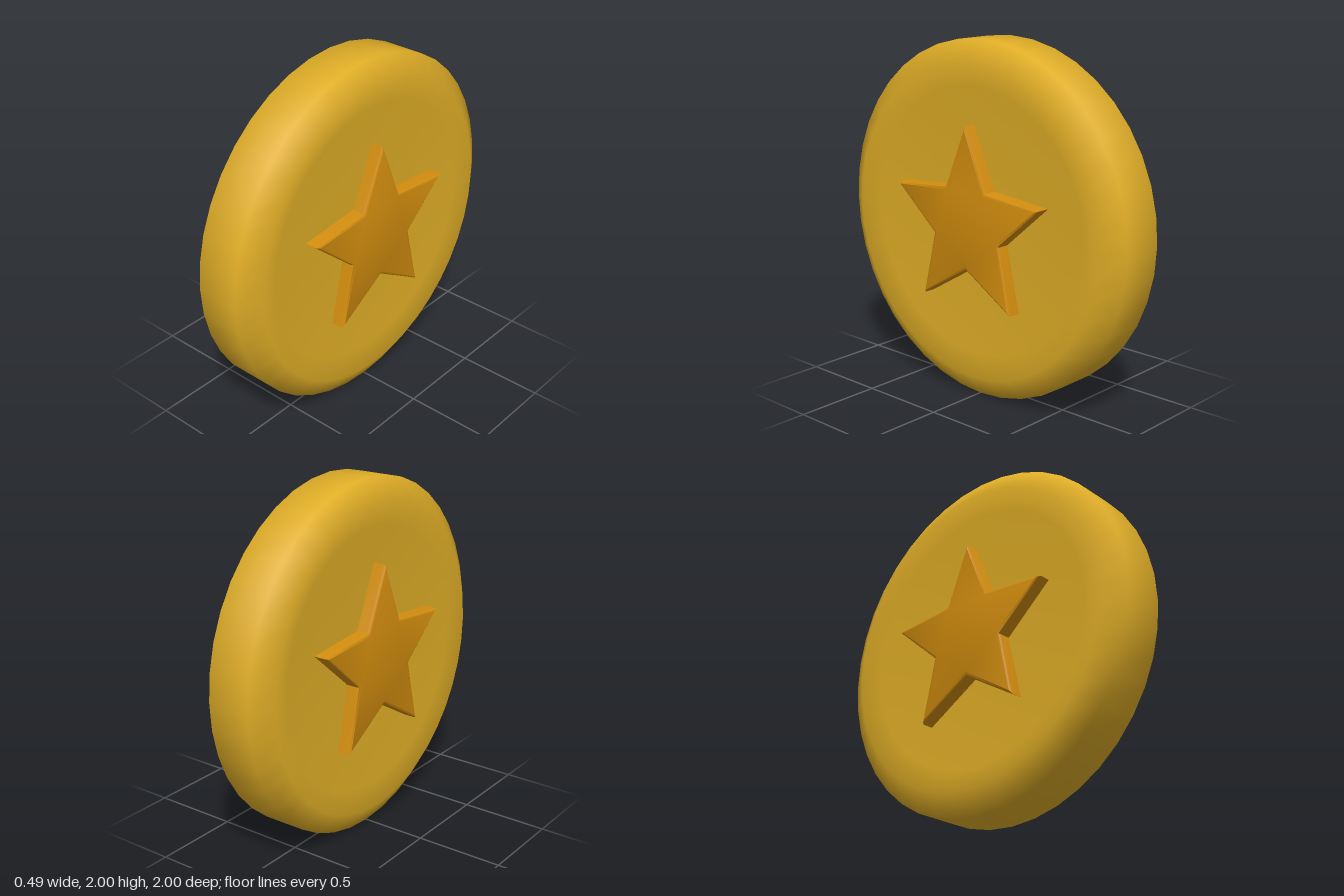
import * as THREE from 'three';
import { toCreasedNormals } from 'three/addons/utils/BufferGeometryUtils.js';

const gold = new THREE.MeshStandardMaterial({ color: 0xdfad26 });
gold.name = 'gold';
const amber = new THREE.MeshStandardMaterial({ color: 0xd18c0e });
amber.name = 'amber';

// Five-pointed star outline, one point up
function starShape(outer, inner) {
  const points = [];
  for (let i = 0; i < 10; i++) {
    const r = i % 2 ? inner : outer;
    const a = Math.PI / 2 + (i * Math.PI) / 5;
    points.push(new THREE.Vector2(r * Math.cos(a), r * Math.sin(a)));
  }
  return new THREE.Shape(points);
}

export function createModel() {
  const model = new THREE.Group();
  model.name = 'coin';

  // Disc: bevelled rim with a shallow dish on both faces, axis along x
  const half = [[0, 0.165], [0.75, 0.168], [0.875, 0.206], [1, 0.125]];
  const profile = [
    ...half.map(([r, h]) => new THREE.Vector2(r, -h)),
    ...half.reverse().map(([r, h]) => new THREE.Vector2(r, h)),
  ];
  const disc = new THREE.Mesh(new THREE.LatheGeometry(profile, 40).rotateZ(-Math.PI / 2), gold);
  disc.name = 'disc';
  disc.position.y = 1;
  model.add(disc);

  // Raised star on each face, made as one bar through the disc
  const halfDepth = 0.246, bevel = 0.018;
  const starGeometry = new THREE.ExtrudeGeometry(starShape(0.548, 0.25), {
    depth: 2 * (halfDepth - bevel),
    bevelThickness: bevel,
    bevelSize: bevel,
    bevelOffset: -bevel,
    bevelSegments: 2,
  });
  starGeometry.translate(0, 0, bevel - halfDepth).rotateY(Math.PI / 2);
  const star = new THREE.Mesh(toCreasedNormals(starGeometry, 0.6), amber);
  star.name = 'star';
  star.position.y = 1;
  model.add(star);

  return model;
}
